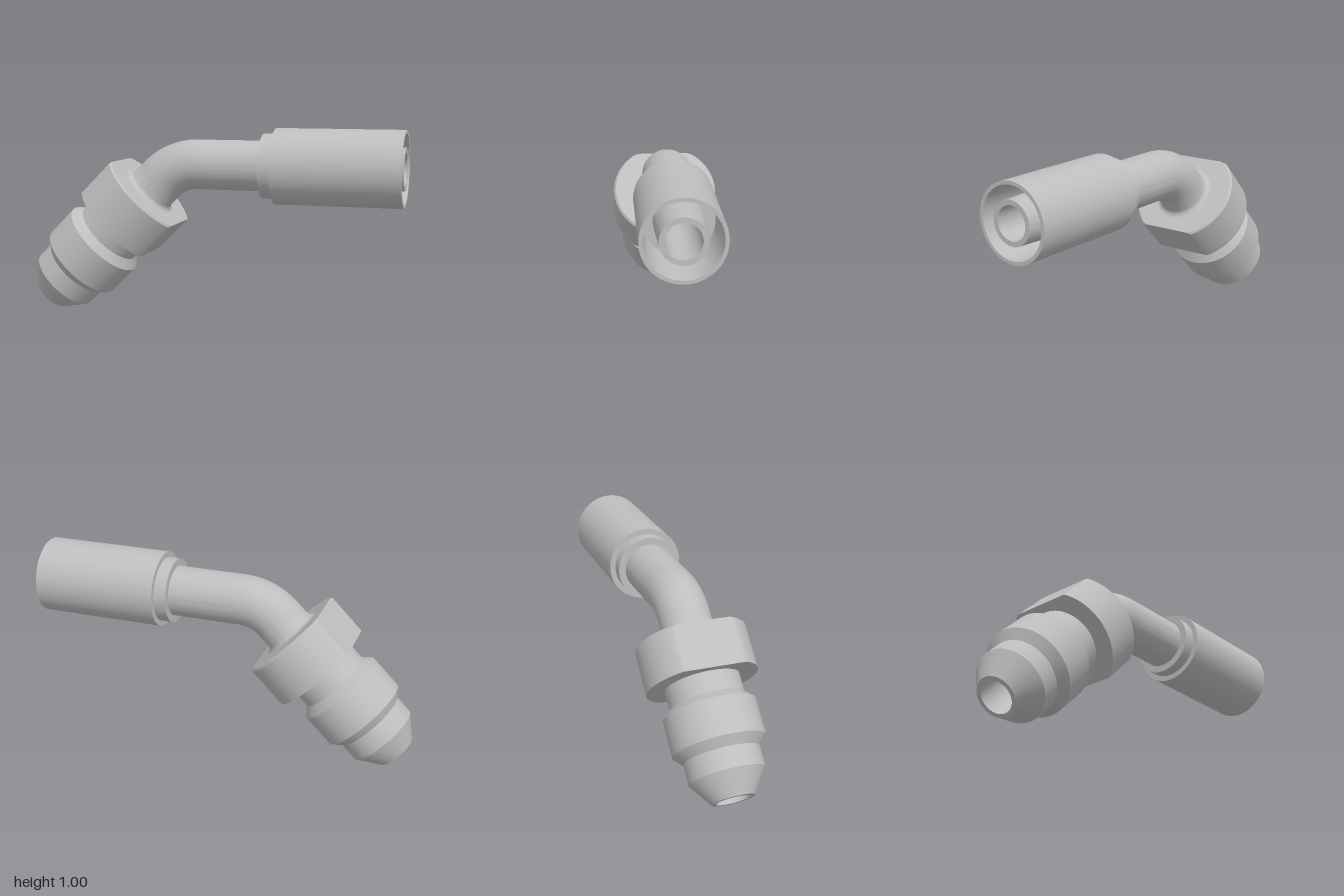
import * as THREE from 'three';
import { toCreasedNormals } from 'three/addons/utils/BufferGeometryUtils.js';

export function createModel() {
  const model = new THREE.Group();
  model.name = 'angledHoseFitting';
  const steel = new THREE.MeshStandardMaterial({ color: 0xbebebe, side: THREE.DoubleSide });
  steel.name = 'steel';

  const TUBE = 0.13, BORE = 0.084, BEND = 0.28;

  const add = (parent, name, geometry) => {
    const mesh = new THREE.Mesh(geometry, steel);
    mesh.name = name;
    parent.add(mesh);
    return mesh;
  };
  // Turned part from [radius, position along axis] pairs, optionally milled flat on two sides
  const turned = (parent, name, profile, flat = Infinity) => {
    const g = new THREE.LatheGeometry(profile.map(([r, y]) => new THREE.Vector2(r, y)), 96);
    const p = g.attributes.position;
    for (let i = 0; i < p.count; i++) p.setX(i, THREE.MathUtils.clamp(p.getX(i), -flat, flat));
    return add(parent, name, toCreasedNormals(g, 0.42));
  };

  // Horizontal leg, axis along +x
  const hoseEnd = new THREE.Group();
  hoseEnd.name = 'hoseEnd';
  hoseEnd.position.y = 0.807;
  hoseEnd.rotation.z = -Math.PI / 2;
  model.add(hoseEnd);
  turned(hoseEnd, 'straightTube', [[TUBE, -0.079], [TUBE, 0.3]]);
  turned(hoseEnd, 'collar', [[TUBE, 0.278], [0.167, 0.278], [0.167, 0.345]]);
  turned(hoseEnd, 'crimpSleeve', [
    [TUBE, 0.343], [0.196, 0.343], [0.196, 1], [0.178, 1], [0.167, 0.7], [0.115, 0.7],
  ]);
  turned(hoseEnd, 'innerNipple', [[0.12, 0.7], [0.109, 1], [BORE, 1], [BORE, -0.079]]);

  // 45 degree bend, outer wall and bore
  for (const [name, r] of [['bend', TUBE], ['bendBore', BORE]]) {
    const bend = add(model, name, new THREE.TorusGeometry(BEND, r, 64, 24, Math.PI / 4));
    bend.position.set(-0.079, 0.807 - BEND, 0);
    bend.rotation.z = Math.PI / 2;
  }

  // Angled leg, origin at the nut face and axis pointing up into the bend
  const threadedEnd = new THREE.Group();
  threadedEnd.name = 'threadedEnd';
  threadedEnd.position.set(-0.345, 0.657, 0);
  threadedEnd.rotation.z = -Math.PI / 4;
  model.add(threadedEnd);

  // Fillet where the tube meets the nut
  const fillet = [];
  for (let i = 0; i <= 6; i++) {
    const a = (i / 6) * Math.PI / 2;
    fillet.push([TUBE + 0.03 * (1 - Math.sin(a)), 0.03 * (1 - Math.cos(a))]);
  }
  turned(threadedEnd, 'tubeRoot', [...fillet, [TUBE, 0.097]]);
  turned(threadedEnd, 'nut', [
    [0.18, -0.235], [0.28, -0.235], [0.28, -0.01], [0.27, 0], [0.13, 0],
  ], 0.231);
  turned(threadedEnd, 'noseBody', [
    [BORE, 0.097], [BORE, -0.823], [0.105, -0.823], [0.188, -0.707], [0.188, -0.605],
    [0.231, -0.56], [0.231, -0.377], [0.187, -0.335], [0.187, -0.23],
  ]);

  return model;
}
